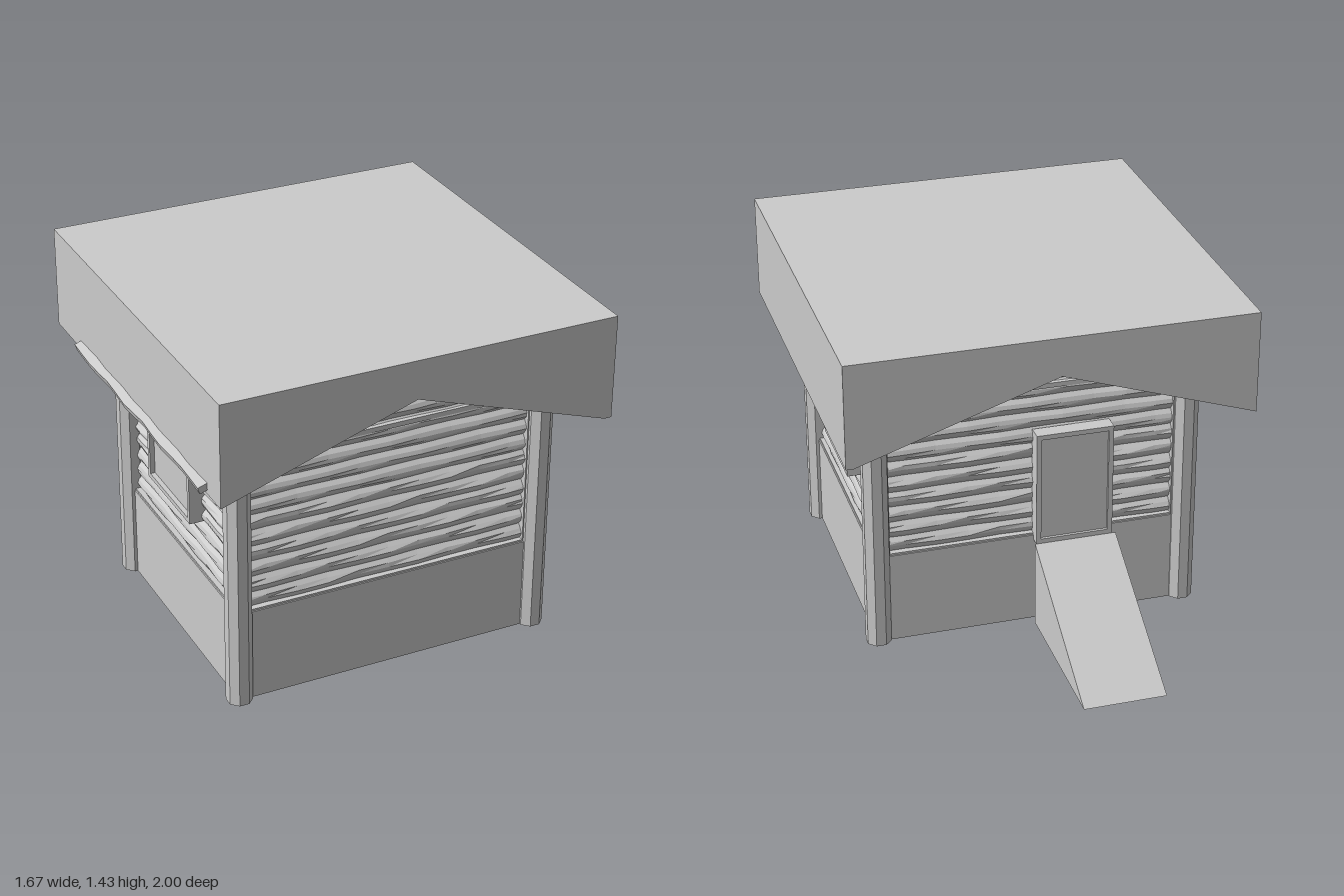
import * as THREE from 'three';

const mat = new THREE.MeshStandardMaterial({ color: 0xcccccc, flatShading: true, side: THREE.DoubleSide });

// Main dimensions
const HALF_X = 0.65, FRONT = 0.795, BACK = -0.305, MID_Z = (FRONT + BACK) / 2;
const BASE_TOP = 0.39, WALL_TOP = 1.05, RIDGE_Y = 1.27, SLOPE = 1 / 3, LOG = 0.069;

function add(parent, name, geometry, x = 0, y = 0, z = 0) {
  const mesh = new THREE.Mesh(geometry, mat);
  mesh.name = name;
  mesh.position.set(x, y, z);
  parent.add(mesh);
  return mesh;
}

function box(parent, name, x0, x1, y0, y1, z0, z1) {
  return add(parent, name, new THREE.BoxGeometry(x1 - x0, y1 - y0, z1 - z0),
    (x0 + x1) / 2, (y0 + y1) / 2, (z0 + z1) / 2);
}

function polygon(points) {
  return new THREE.Shape(points.map(([x, y]) => new THREE.Vector2(x, y)));
}

// Wavy log siding facing +z, narrowed to the gable where it rises above the eaves
function logSiding(halfWidth, top) {
  const rows = Math.round((top - BASE_TOP) / LOG) * 4;
  const geometry = new THREE.PlaneGeometry(2, 1, 10, rows);
  const p = geometry.attributes.position;
  for (let i = 0; i < p.count; i++) {
    const u = p.getX(i), v = p.getY(i) + 0.5;
    const y = BASE_TOP + v * (top - BASE_TOP);
    const half = Math.min(halfWidth, Math.max(0, (RIDGE_Y - y) / SLOPE - 0.01));
    const bulge = Math.abs(Math.sin(v * rows / 4 * Math.PI));
    const wobble = 0.004 * Math.sin(u * 9 + Math.round(v * rows / 4) * 2.3);
    p.setXYZ(i, u * half, y, 0.02 * bulge + wobble - 0.035);
  }
  geometry.computeVertexNormals();
  return geometry;
}

// Rectangular frame with a recessed panel, facing +z
function framedPanel(name, width, height, depth, recess) {
  const group = new THREE.Group();
  group.name = name;
  const w = width / 2, h = height / 2, b = 0.02;
  const frame = polygon([[-w, -h], [w, -h], [w, h], [-w, h]]);
  frame.holes.push(polygon([[b - w, b - h], [b - w, h - b], [w - b, h - b], [w - b, b - h]]));
  add(group, name + 'Frame', new THREE.ExtrudeGeometry(frame, { depth, bevelEnabled: false }));
  box(group, name + 'Panel', b - w, w - b, b - h, h - b, 0, depth - recess);
  return group;
}

// One wall with its siding, sill, top beam and edge trims
function wall(name, halfWidth, top) {
  const group = new THREE.Group();
  group.name = name;
  const inner = halfWidth - 0.055;
  add(group, 'logSiding', logSiding(halfWidth, top));
  box(group, 'sill', -inner, inner, BASE_TOP - 0.01, BASE_TOP + 0.008, -0.04, -0.005);
  box(group, 'topBeam', -inner, inner, WALL_TOP - 0.01, WALL_TOP + 0.01, -0.04, -0.012);
  for (const s of [-1, 1]) {
    add(group, 'edgeTrim', new THREE.BoxGeometry(0.012, WALL_TOP - BASE_TOP, 0.035),
      s * inner, (WALL_TOP + BASE_TOP) / 2, -0.022);
  }
  return group;
}

export function createModel() {
  const model = new THREE.Group();
  model.name = 'logHut';

  // Hollow base, open below, closed by a floor
  const w = HALF_X, d = (FRONT - BACK) / 2, t = 0.025;
  const ring = polygon([[-w, -d], [w, -d], [w, d], [-w, d]]);
  ring.holes.push(polygon([[t - w, t - d], [t - w, d - t], [w - t, d - t], [w - t, t - d]]));
  const base = add(model, 'base',
    new THREE.ExtrudeGeometry(ring, { depth: BASE_TOP, bevelEnabled: false }), 0, 0, MID_Z);
  base.rotation.x = -Math.PI / 2;
  box(model, 'floor', -w + t, w - t, BASE_TOP - 0.015, BASE_TOP, BACK + t, FRONT - t);

  // Corner posts
  for (const x of [-0.643, 0.643]) for (const z of [0.783, -0.29]) {
    const post = new THREE.CylinderGeometry(0.053, 0.053, 1.06, 8);
    post.rotateY(Math.PI / 8);
    add(model, 'cornerPost', post, x, 0.53, z);
  }

  // Gabled front and back walls
  const front = wall('frontWall', HALF_X, RIDGE_Y);
  front.position.z = FRONT;
  const back = wall('backWall', HALF_X, RIDGE_Y);
  back.position.z = BACK;
  back.rotation.y = Math.PI;
  model.add(front, back);

  // Side walls, each with a window
  for (const s of [-1, 1]) {
    const side = wall(s > 0 ? 'leftWall' : 'rightWall', d, WALL_TOP);
    side.position.set(s * HALF_X, 0, MID_Z);
    side.rotation.y = s * Math.PI / 2;
    const pane = framedPanel('window', 0.415, 0.34, 0.07, 0.02);
    pane.position.set(s * (MID_Z - 0.217), 0.77, -0.035);
    side.add(pane);
    model.add(side);
  }

  // Door above the ramp
  const door = framedPanel('door', 0.32, 0.49, 0.065, 0.012);
  door.position.set(-0.165, 0.615, -0.28);
  door.rotation.y = Math.PI;
  model.add(door);

  // Entrance ramp, a shell open below
  const x0 = -0.34, x1 = 0, z0 = -0.345, z1 = -1, h = 0.37;
  const ramp = new THREE.BufferGeometry();
  ramp.setAttribute('position', new THREE.Float32BufferAttribute([
    x0, 0, z0, x0, h, z0, x0, 0, z1,
    x1, 0, z0, x1, h, z0, x1, 0, z1], 3));
  ramp.setIndex([1, 4, 5, 1, 5, 2, 0, 2, 1, 3, 4, 5, 0, 1, 4, 0, 4, 3]);
  const rampFlat = ramp.toNonIndexed();
  rampFlat.computeVertexNormals();
  add(model, 'ramp', rampFlat);

  // Flat-topped roof block with a gabled underside
  const roof = polygon([[-0.8, 1.007], [-0.01, RIDGE_Y], [0.8, 1.0], [0.83, 1.0], [0.83, 1.43], [-0.8, 1.43]]);
  add(model, 'roof', new THREE.ExtrudeGeometry(roof, { depth: 1.65, bevelEnabled: false }), 0, 0, -0.65);

  // Rough board poking out beneath one eave
  const board = new THREE.BoxGeometry(0.16, 0.028, 1.27, 1, 1, 14);
  const p = board.attributes.position;
  for (let i = 0; i < p.count; i++) {
    const z = p.getZ(i);
    if (p.getX(i) < 0) p.setX(i, p.getX(i) + 0.004 * Math.sin(z * 17));
    p.setY(i, p.getY(i) + 0.004 * Math.sin(z * 23));
  }
  board.computeVertexNormals();
  add(model, 'eaveBoard', board, -0.753, 1.05, 0.245).rotation.z = Math.atan(SLOPE);

  return model;
}
